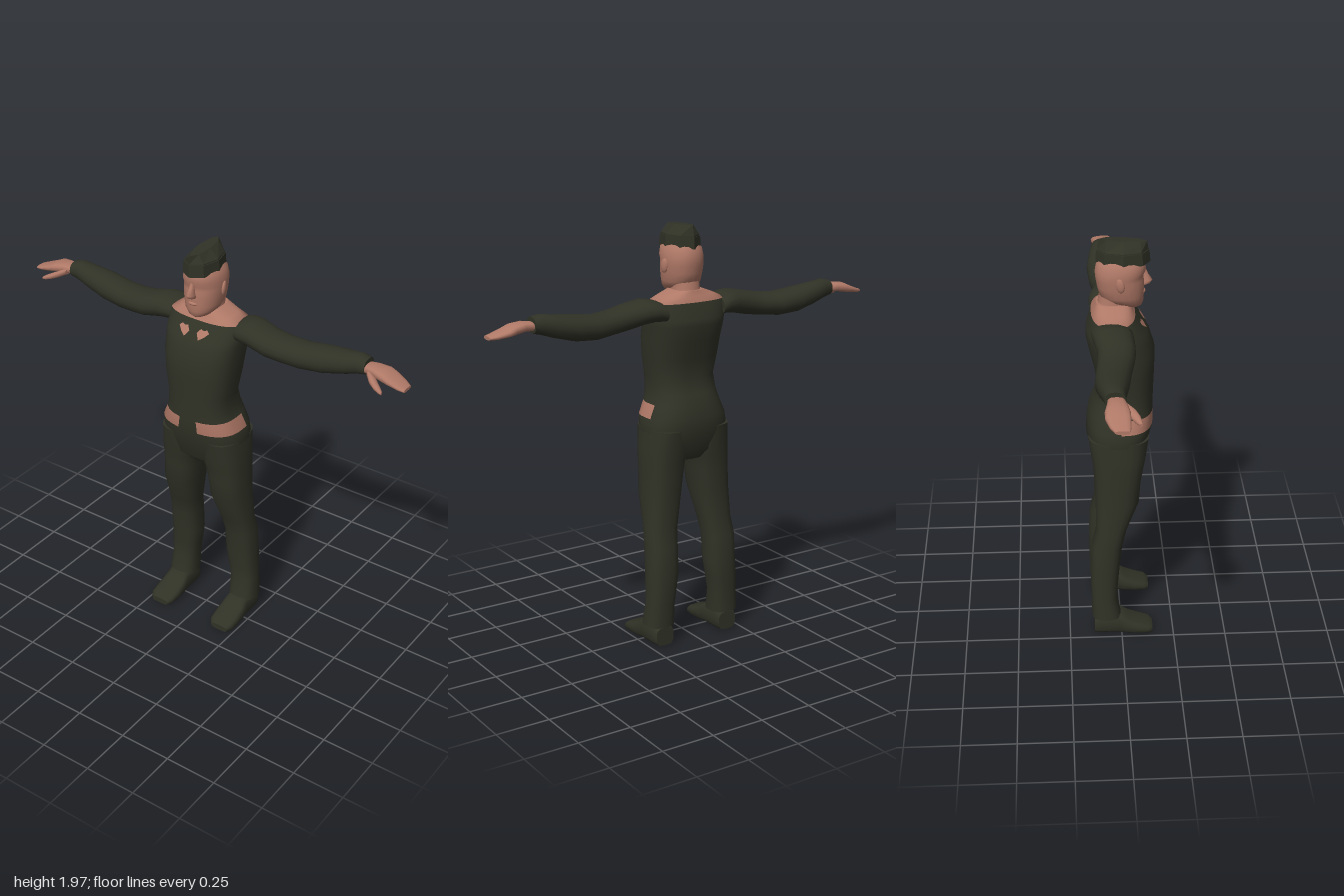
import * as THREE from 'three';

const cloth = new THREE.MeshStandardMaterial({ color: 0x303226 });
cloth.name = 'olive cloth';
const skin = new THREE.MeshStandardMaterial({ color: 0xb07967 });
skin.name = 'skin';

// Smooth skin through rounded sections [t, a0, a1, b0, b1] in rising t.
// Axis y: a = x, b = z. Axis x: a = z, b = y. Axis z: a = y, b = x.
function loft(name, sections, { axis = 'y', n = 16, p = 2.2, side = 1, flat = false, mats = [cloth], pick = () => 0 } = {}) {
  const place = {
    x: (t, a, b) => [t * side, b, a],
    y: (t, a, b) => [a * side, t, b],
    z: (t, a, b) => [b * side, a, t],
  }[axis];
  const pos = [], faces = mats.map(() => []);
  const tri = (m, a, b, c) => (side > 0 ? faces[m].push(a, b, c) : faces[m].push(a, c, b));
  const bend = (v) => Math.sign(v) * Math.abs(v) ** (2 / p);
  const ring = ([t, a0, a1, b0, b1]) => {
    const start = pos.length / 3;
    for (let i = 0; i < n; i++) {
      const u = (i / n) * Math.PI * 2;
      pos.push(...place(t, (a0 + a1) / 2 + ((a1 - a0) / 2) * bend(Math.sin(u)),
        (b0 + b1) / 2 + ((b1 - b0) / 2) * bend(Math.cos(u))));
    }
    return start;
  };
  const starts = sections.map(ring);
  for (let r = 0; r < sections.length - 1; r++) {
    for (let i = 0; i < n; i++) {
      const j = (i + 1) % n, lo = starts[r], hi = starts[r + 1], m = pick(r, i);
      tri(m, lo + i, lo + j, hi + j);
      tri(m, lo + i, hi + j, hi + i);
    }
  }
  // end caps with their own vertices
  [0, sections.length - 1].forEach((r, top) => {
    const s = sections[r], c = ring(s), mid = pos.length / 3, m = pick(top ? r - 1 : 0, 0);
    pos.push(...place(s[0], (s[1] + s[2]) / 2, (s[3] + s[4]) / 2));
    for (let i = 0; i < n; i++) {
      const j = (i + 1) % n;
      if (top) tri(m, c + i, c + j, mid);
      else tri(m, c + j, c + i, mid);
    }
  });
  let g = new THREE.BufferGeometry();
  g.setAttribute('position', new THREE.Float32BufferAttribute(pos, 3));
  g.setIndex(faces.flat());
  let at = 0;
  faces.forEach((f, m) => { g.addGroup(at, f.length, m); at += f.length; });
  if (flat) g = g.toNonIndexed();
  g.computeVertexNormals();
  const mesh = new THREE.Mesh(g, mats.length > 1 ? mats : mats[0]);
  mesh.name = name;
  return mesh;
}

function blob(name, mat, [x, y, z], [sx, sy, sz]) {
  const mesh = new THREE.Mesh(new THREE.SphereGeometry(1, 12, 8), mat);
  mesh.name = name;
  mesh.position.set(x, y, z);
  mesh.scale.set(sx, sy, sz);
  return mesh;
}

const sym = (y, w, back, front) => [y, -w, w, back, front];

export function createModel() {
  const model = new THREE.Group();

  // torso with bare belt patches and bare shoulders
  const torsoRows = [
    sym(0.885, 0.08, -0.1, 0.07), sym(0.93, 0.2, -0.13, 0.112), sym(1.03, 0.207, -0.157, 0.135),
    sym(1.09, 0.2, -0.153, 0.15), sym(1.15, 0.172, -0.145, 0.15), sym(1.2, 0.16, -0.125, 0.15),
    sym(1.27, 0.158, -0.102, 0.152), sym(1.36, 0.173, -0.118, 0.155), sym(1.45, 0.18, -0.14, 0.157),
    sym(1.52, 0.186, -0.155, 0.135), sym(1.55, 0.19, -0.152, 0.12), sym(1.625, 0.19, -0.13, 0.068),
    sym(1.65, 0.135, -0.115, 0.055), sym(1.675, 0.07, -0.108, 0.045),
  ];
  const n = 36, p = 2.6;
  model.add(loft('torso', torsoRows, {
    n, p, mats: [cloth, skin],
    pick: (r, i) => {
      const belt = r === 3 && ((i >= 1 && i <= 9) || (i >= n - 9 && i <= n - 2));
      return belt || r >= 11 ? 1 : 0;
    },
  }));

  // small bare patches lying on the upper chest
  const [low, high] = [torsoRows[10], torsoRows[11]];
  const chestZ = (x, y) => {
    const k = (y - low[0]) / (high[0] - low[0]);
    const [, , w, b, f] = low.map((v, i) => v + (high[i] - v) * k);
    return (b + f) / 2 + ((f - b) / 2) * (1 - (Math.abs(x) / w) ** p) ** (1 / p);
  };
  for (const s of [-1, 1]) {
    const outline = [[0.035, 1.6], [0.02, 1.582], [0.038, 1.557], [0.062, 1.572], [0.08, 1.59], [0.066, 1.601], [0.05, 1.596]];
    const g = new THREE.ShapeGeometry(new THREE.Shape(outline.map(([x, y]) => new THREE.Vector2(x * s, y))));
    const v = g.attributes.position;
    for (let i = 0; i < v.count; i++) v.setZ(i, chestZ(v.getX(i), v.getY(i)) + 0.005);
    g.computeVertexNormals();
    const patch = new THREE.Mesh(g, skin);
    patch.name = 'chestPatch';
    model.add(patch);
  }

  // neck and head
  model.add(loft('neck', [
    sym(1.62, 0.075, -0.108, 0.045), sym(1.67, 0.064, -0.1, 0.043), sym(1.73, 0.064, -0.09, 0.04),
  ], { mats: [skin] }));
  model.add(loft('head', [
    sym(1.65, 0.025, 0.03, 0.088), sym(1.662, 0.05, -0.01, 0.1), sym(1.685, 0.073, -0.06, 0.106),
    sym(1.71, 0.083, -0.092, 0.107), sym(1.75, 0.089, -0.102, 0.109), sym(1.785, 0.092, -0.108, 0.107),
    sym(1.803, 0.092, -0.11, 0.104), sym(1.825, 0.092, -0.11, 0.115), sym(1.86, 0.085, -0.104, 0.113),
    sym(1.885, 0.065, -0.085, 0.095),
  ], { n: 24, p: 2.15, mats: [skin] }));
  model.add(loft('nose', [
    sym(1.748, 0.012, 0.09, 0.112), sym(1.757, 0.021, 0.09, 0.133), sym(1.772, 0.018, 0.09, 0.145),
    sym(1.8, 0.011, 0.09, 0.126), sym(1.825, 0.009, 0.09, 0.115),
  ], { n: 10, mats: [skin] }));
  model.add(blob('lips', skin, [0, 1.722, 0.101], [0.026, 0.01, 0.013]));
  for (const s of [-1, 1]) {
    const ear = blob('ear', skin, [s * 0.093, 1.782, -0.002], [0.01, 0.034, 0.02]);
    ear.rotation.set(-0.15, s * 0.3, 0);
    model.add(ear);
  }

  // folded field cap: turned-up band and ridged crown
  model.add(loft('capBand', [
    sym(1.86, 0.08, -0.107, 0.135), sym(1.915, 0.076, -0.104, 0.13),
  ], { n: 8, p: 2, flat: true }));
  const crown = loft('capCrown', [
    sym(1.87, 0.076, -0.1, 0.13), sym(1.92, 0.071, -0.1, 0.125), sym(1.962, 0.03, -0.092, 0.12),
  ], { n: 8, p: 2, flat: true });
  const cv = crown.geometry.attributes.position;
  for (let i = 0; i < cv.count; i++) if (cv.getY(i) > 1.95) cv.setY(i, 1.963 - 0.06 * cv.getZ(i));
  crown.geometry.computeVertexNormals();
  model.add(crown);

  for (const side of [1, -1]) {
    const arm = new THREE.Group();
    arm.name = side > 0 ? 'leftArm' : 'rightArm';
    // sleeve, hand and thumb
    arm.add(loft('sleeve', [
      [0.15, -0.135, 0.035, 1.54, 1.63], [0.19, -0.135, 0.05, 1.545, 1.645], [0.24, -0.125, 0.053, 1.538, 1.65],
      [0.33, -0.11, 0.055, 1.518, 1.632], [0.4, -0.115, 0.045, 1.51, 1.618], [0.49, -0.125, 0.028, 1.5, 1.612],
      [0.6, -0.132, 0.015, 1.508, 1.626], [0.7, -0.12, 0, 1.535, 1.637], [0.76, -0.108, -0.01, 1.555, 1.646],
      [0.8, -0.1, -0.012, 1.565, 1.638],
    ], { axis: 'x', side }));
    arm.add(loft('hand', [
      [0.78, -0.085, -0.02, 1.578, 1.615], [0.84, -0.092, -0.008, 1.578, 1.622], [0.89, -0.103, 0.002, 1.57, 1.616],
      [0.92, -0.102, 0.003, 1.565, 1.602], [0.97, -0.085, 0, 1.558, 1.583], [1, -0.066, -0.005, 1.557, 1.573],
    ], { axis: 'x', side, n: 14, p: 2.6, mats: [skin] }));
    arm.add(loft('thumb', [
      [0.82, -0.04, -0.005, 1.575, 1.605], [0.85, -0.025, 0.026, 1.562, 1.595], [0.88, 0, 0.042, 1.552, 1.582],
      [0.905, 0.02, 0.048, 1.547, 1.57], [0.92, 0.034, 0.048, 1.547, 1.56],
    ], { axis: 'x', side, n: 10, mats: [skin] }));

    const leg = new THREE.Group();
    leg.name = side > 0 ? 'leftLeg' : 'rightLeg';
    // trouser leg and shoe
    leg.add(loft('trouserLeg', [
      [0.095, 0.11, 0.25, -0.142, -0.002], [0.2, 0.108, 0.243, -0.143, -0.022], [0.28, 0.097, 0.24, -0.147, -0.015],
      [0.36, 0.085, 0.238, -0.146, -0.008], [0.485, 0.085, 0.235, -0.14, 0.005], [0.57, 0.072, 0.228, -0.118, 0.025],
      [0.72, 0.045, 0.222, -0.12, 0.085], [0.82, 0.033, 0.218, -0.124, 0.092], [0.89, 0.022, 0.217, -0.129, 0.105],
      [0.95, 0, 0.214, -0.138, 0.117], [1.04, 0.01, 0.205, -0.15, 0.13],
    ], { side, n: 20, p: 2.5 }));
    leg.add(loft('shoe', [
      [-0.13, 0, 0.09, 0.13, 0.225], [-0.1, 0, 0.11, 0.12, 0.235], [-0.01, 0, 0.11, 0.118, 0.238],
      [0.03, 0, 0.083, 0.113, 0.243], [0.08, 0, 0.06, 0.112, 0.245], [0.13, 0, 0.045, 0.118, 0.242],
      [0.15, 0, 0.03, 0.135, 0.225],
    ], { axis: 'z', side, p: 3.2 }));
    model.add(arm, leg);
  }
  return model;
}
